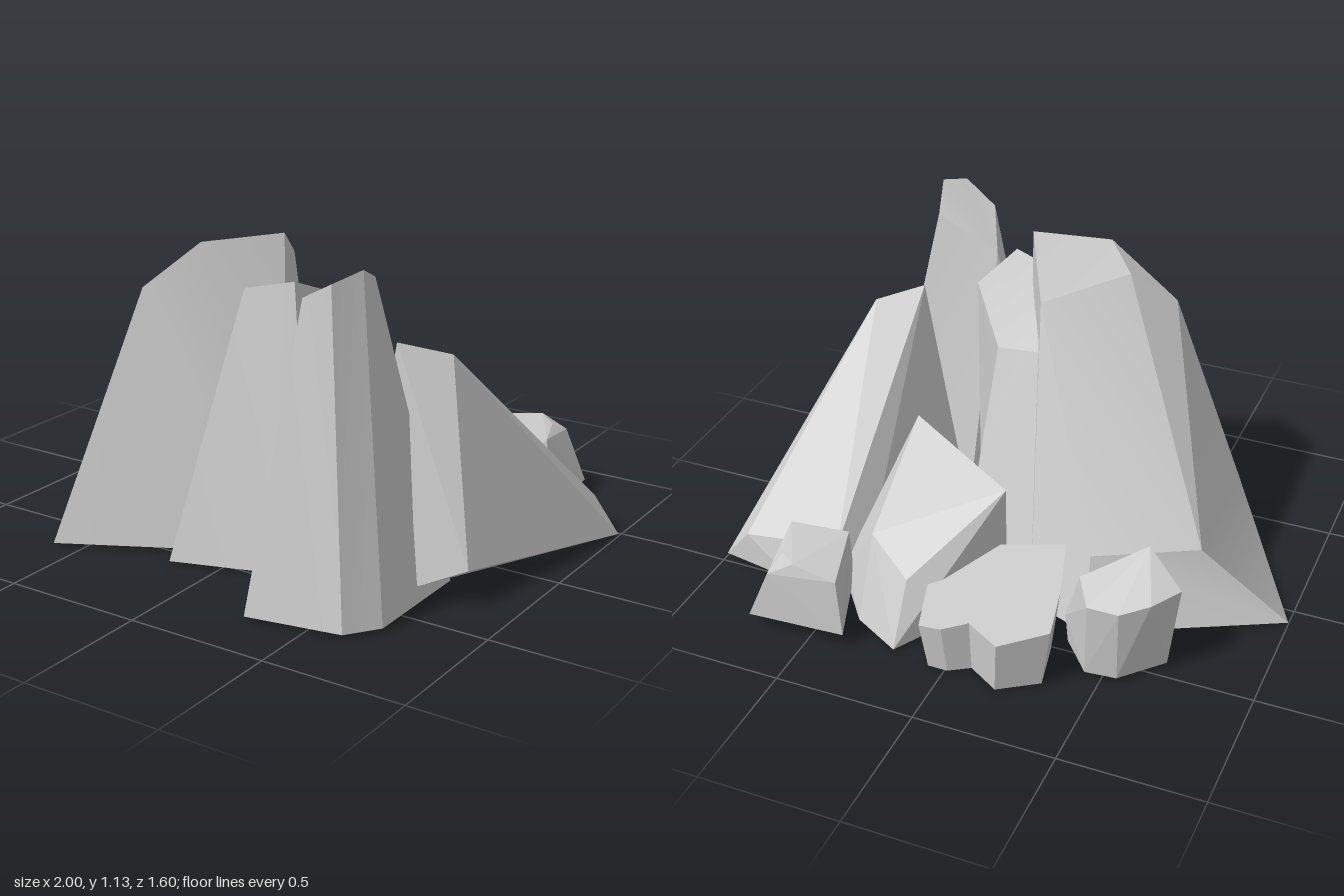
import * as THREE from 'three';
import { ConvexGeometry } from 'three/addons/geometries/ConvexGeometry.js';

const stone = new THREE.MeshStandardMaterial({ color: 0xcccccc });

// Rock from corners and faces; each face is a fan from its first corner, smooth inside and sharp at its border
function faceted(name, corners, faces) {
  const positions = [];
  const index = [];
  for (const face of faces) {
    const start = positions.length / 3;
    for (const i of face) positions.push(...corners[i]);
    for (let k = 1; k < face.length - 1; k++) index.push(start, start + k, start + k + 1);
  }
  const geometry = new THREE.BufferGeometry();
  geometry.setAttribute('position', new THREE.Float32BufferAttribute(positions, 3));
  geometry.setIndex(index);
  geometry.computeVertexNormals();
  const mesh = new THREE.Mesh(geometry, stone);
  mesh.name = name;
  return mesh;
}

// Convex boulder: the hull of a few corners, base corners given as [x, z] at one height
function boulder(name, baseY, base, corners) {
  const points = [...base.map(([x, z]) => [x, baseY, z]), ...corners];
  const mesh = new THREE.Mesh(new ConvexGeometry(points.map((p) => new THREE.Vector3(...p))), stone);
  mesh.name = name;
  return mesh;
}

// Flat slab with an irregular outline, a tilted top and a slightly smaller base
function slab(name, outline, topHeight, taper) {
  const n = outline.length;
  const cx = outline.reduce((s, p) => s + p[0], 0) / n;
  const cz = outline.reduce((s, p) => s + p[1], 0) / n;
  const top = outline.map(([x, z]) => [x, topHeight(x, z), z]);
  const base = outline.map(([x, z]) => [cx + (x - cx) * taper, 0, cz + (z - cz) * taper]);
  const contour = outline.map(([x, z]) => new THREE.Vector2(x, -z));
  const faces = [];
  for (const [a, b, c] of THREE.ShapeUtils.triangulateShape(contour, [])) {
    faces.push([a, b, c], [n + a, n + c, n + b]);
  }
  for (let i = 0; i < n; i++) {
    const j = (i + 1) % n;
    faces.push([i, n + i, n + j, j]);
  }
  return faceted(name, [...top, ...base], faces);
}

export function createModel() {
  const group = new THREE.Group();
  group.name = 'rockCluster';

  // Tall rocks with slightly twisted fronts
  group.add(
    faceted('largeCrag',
      [[-1, 0.01, -0.08], [-0.6, 0.01, 0.69], [0.13, 0.01, 0.31], [-0.13, 0.01, -0.31],
        [-0.37, 0.01, -0.4], [-0.39, 0.9, 0.42], [-0.25, 1.03, 0.31], [-0.14, 1.09, 0.42],
        [0.11, 1.13, 0.3], [-0.02, 1, 0.05], [-0.7, 0.3, -0.17], [-0.35, 0.27, -0.31]],
      [[2, 8, 7, 5, 1], [1, 5, 10, 0], [10, 5, 6], [5, 7, 6], [7, 8, 9, 6], [10, 6, 9, 11],
        [0, 10, 11, 4], [11, 9, 3, 4], [2, 3, 9, 8], [4, 3, 2, 1, 0]]),
    faceted('middleCrag',
      [[-0.17, 0.01, 0.59], [0.2, 0.01, 0.47], [0.31, 0.01, 0.26], [0.16, 0.01, -0.27],
        [-0.12, 0.01, -0.28], [-0.01, 0.94, 0.36], [0.21, 1, 0.39], [0.29, 0.93, 0.22],
        [0.14, 0.79, 0.05], [-0.06, 0.8, 0.06], [0.25, 0.58, 0.41]],
      [[1, 10, 6, 5, 0], [1, 2, 7, 6, 10], [2, 3, 8, 7], [3, 4, 9, 8], [4, 0, 5, 9],
        [5, 6, 7, 8, 9], [4, 3, 2, 1, 0]]),
    faceted('frontCrag',
      [[0.29, 0.01, 0.8], [0.62, 0.01, 0.74], [0.7, 0.01, 0.63], [0.7, 0.01, 0.2],
        [0.33, 0.01, 0.2], [0.2, 0.01, 0.46], [0.4, 1.03, 0.63], [0.53, 1.1, 0.67],
        [0.58, 1.13, 0.57], [0.53, 1.07, 0.42], [0.3, 0.95, 0.42], [0.25, 0.75, 0.42]],
      [[1, 7, 6, 0], [1, 2, 8, 7], [2, 3, 9, 8], [3, 4, 10, 9], [4, 5, 11, 10],
        [11, 5, 0, 6, 10], [10, 6, 7, 8, 9], [5, 4, 3, 2, 1, 0]]),
  );

  // Long sloping rock at the side and the leaning rock behind
  group.add(
    boulder('slopingCrag', 0.01,
      [[0.65, 0.2], [0.34, 0.2], [0.46, -0.45], [0.71, -0.52], [1, -0.47]],
      [[0.54, 0.83, 0.3], [0.69, 0.79, 0.2], [0.84, 0.13, 0.34], [0.7, 0.07, 0.41],
        [0.9, 0.13, -0.48], [0.54, 0.17, -0.47]]),
    boulder('leaningRock', 0.01,
      [[0.2, -0.73], [0.38, -0.63], [0.53, -0.44], [0.45, -0.1], [-0.04, -0.31], [0.06, -0.47]],
      [[0.39, 0.53, -0.09], [-0.04, 0.46, -0.31], [0.46, 0.36, -0.12], [0.38, 0.29, -0.5],
        [0.2, 0.22, -0.61], [0.53, 0.08, -0.44]]),
  );

  // Small stones at the back
  group.add(
    boulder('smallRock', 0.05,
      [[0.37, -0.77], [0.72, -0.79], [0.72, -0.52], [0.49, -0.45]],
      [[0.39, 0.26, -0.76], [0.55, 0.29, -0.76], [0.62, 0.28, -0.7], [0.68, 0.28, -0.53],
        [0.46, 0.29, -0.52], [0.64, 0.24, -0.78]]),
    boulder('roundedRock', 0.01,
      [[-0.68, -0.44], [-0.55, -0.58], [-0.44, -0.59], [-0.33, -0.46], [-0.5, -0.28]],
      [[-0.72, 0.33, -0.45], [-0.65, 0.32, -0.55], [-0.56, 0.3, -0.61], [-0.45, 0.3, -0.61],
        [-0.38, 0.32, -0.49], [-0.32, 0.12, -0.46], [-0.58, 0.42, -0.37], [-0.51, 0.2, -0.27]]),
    slab('flatRock',
      [[-0.36, -0.7], [-0.32, -0.51], [-0.25, -0.28], [-0.03, -0.33], [0.1, -0.43], [0.15, -0.53],
        [0.11, -0.67], [0.08, -0.77], [0, -0.77], [-0.08, -0.72], [-0.21, -0.8]],
      (x, z) => 0.28 - 0.095 * x + 0.117 * z, 0.88),
  );
  return group;
}
